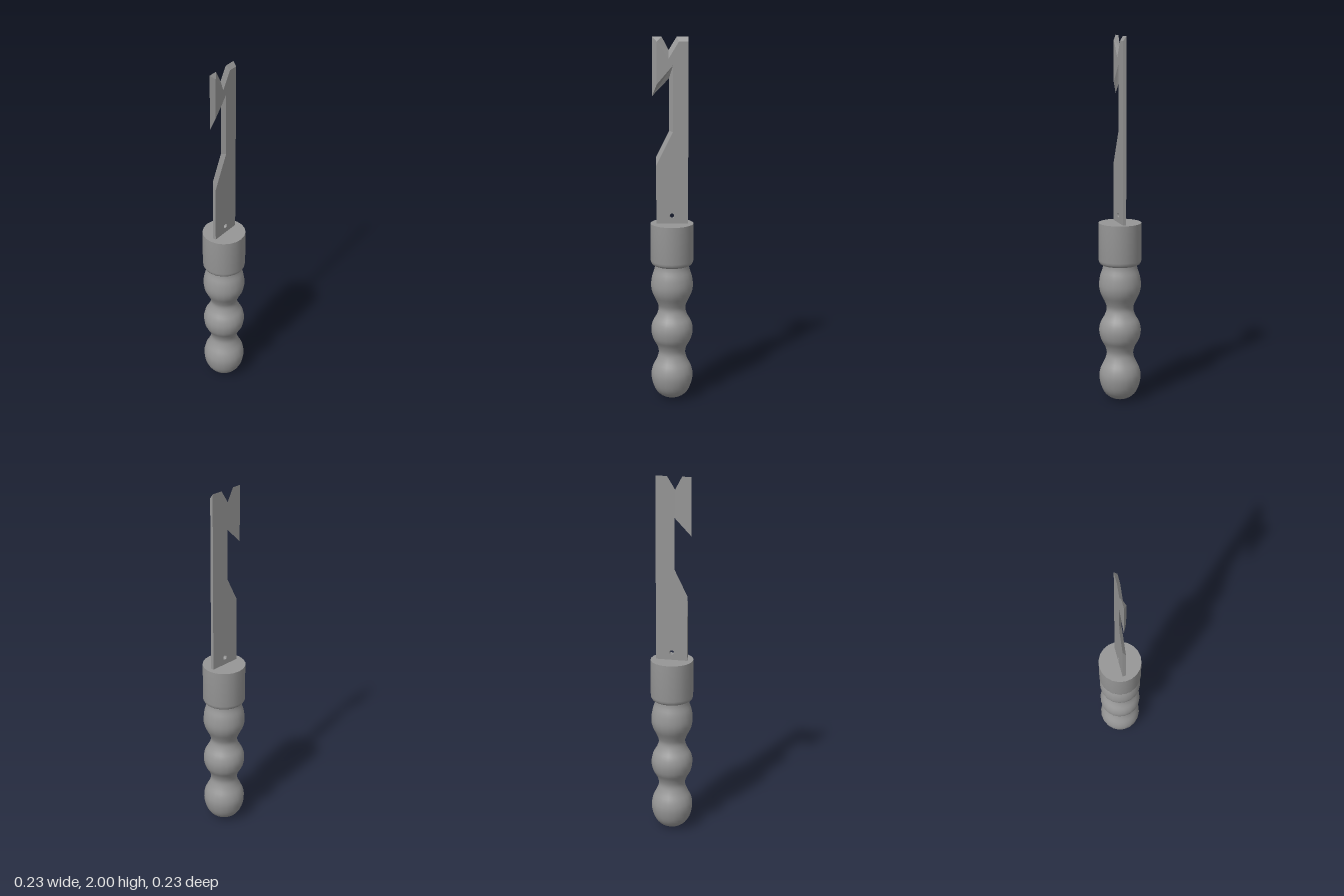
import * as THREE from 'three';
import { mergeGeometries, toCreasedNormals } from 'three/addons/utils/BufferGeometryUtils.js';

const SIDES = 20;
const REAR = -0.008; // depth of the blade's two faces
const FRONT = 0.01;

const vec = (pts) => pts.map(([x, y]) => new THREE.Vector2(x, y));

// Strip of quads joining two matching outlines, one on each face of the blade
function wall(back, front) {
  const pos = [];
  back.forEach((b, i) => {
    const j = (i + 1) % back.length;
    const p = [[b, REAR], [back[j], REAR], [front[j], FRONT], [front[i], FRONT]];
    for (const k of [0, 1, 2, 0, 2, 3]) pos.push(p[k][0].x, p[k][0].y, p[k][1]);
  });
  const g = new THREE.BufferGeometry();
  g.setAttribute('position', new THREE.Float32BufferAttribute(pos, 3));
  return g;
}

// Flat face of the blade at depth z, with the pin hole
function cap(outline, hole, z) {
  const shape = new THREE.Shape(outline);
  shape.holes.push(new THREE.Path(hole));
  const g = new THREE.ShapeGeometry(shape).toNonIndexed();
  g.deleteAttribute('uv');
  g.deleteAttribute('normal');
  if (z < 0) {
    // reverse the winding so the rear face looks backwards
    const a = g.attributes.position.array;
    for (let i = 0; i < a.length; i += 9) {
      for (let k = 0; k < 3; k++) [a[i + 3 + k], a[i + 6 + k]] = [a[i + 6 + k], a[i + 3 + k]];
    }
  }
  return g.translate(0, 0, z);
}

function bladeGeometry() {
  // Counter-clockwise outlines; the front one is bevelled along the shoulder, shank, hook and tip
  const back = vec([[-0.016, 1.5], [-0.085, 1.36], [-0.085, 0.98], [0.087, 0.98], [0.087, 2],
    [0.025, 2], [-0.018, 1.93], [-0.055, 2], [-0.105, 2], [-0.105, 1.687], [-0.016, 1.78]]);
  const front = vec([[0.005, 1.495], [-0.085, 1.313], [-0.085, 0.98], [0.087, 0.98], [0.087, 1.975],
    [0.036, 1.975], [-0.018, 1.885], [-0.079, 1.975], [-0.081, 1.975], [-0.081, 1.75], [0.005, 1.85]]);
  const hole = [];
  for (let i = 0; i < 10; i++) {
    const a = -i / 10 * Math.PI * 2;
    hole.push(new THREE.Vector2(0.013 * Math.cos(a), 1.037 + 0.013 * Math.sin(a)));
  }
  const g = mergeGeometries([cap(front, hole, FRONT), cap(back, hole, REAR), wall(back, front), wall(hole, hole)]);
  g.computeVertexNormals();
  return g;
}

export function createModel() {
  const group = new THREE.Group();
  const material = new THREE.MeshStandardMaterial({ color: 0x969696 });
  const add = (name, geometry) => {
    const mesh = new THREE.Mesh(geometry, material);
    mesh.name = name;
    group.add(mesh);
  };

  // Grip: three rounded bulges with waists between them
  const grip = new THREE.SplineCurve(vec([
    [0, 0], [0.04, 0.005], [0.077, 0.028], [0.103, 0.07], [0.115, 0.13], [0.106, 0.18], [0.084, 0.225],
    [0.073, 0.265], [0.084, 0.305], [0.106, 0.345], [0.115, 0.395], [0.106, 0.44], [0.084, 0.48],
    [0.073, 0.518], [0.084, 0.555], [0.106, 0.6], [0.115, 0.645], [0.109, 0.7], [0.094, 0.748], [0.092, 0.79],
  ]));
  const profile = grip.getPoints(60);
  profile[0].x = 0;
  add('grip', new THREE.LatheGeometry(profile, SIDES));

  // Collar: straight ferrule with a rounded lower rim and a sharp upper one
  const collar = new THREE.LatheGeometry(vec([
    [0.088, 0.762], [0.1, 0.764], [0.11, 0.77], [0.115, 0.778], [0.117, 0.79], [0.117, 0.995], [0, 0.995],
  ]), SIDES);
  add('collar', toCreasedNormals(collar, 1.2));

  // Blade with shoulder, hook and notched tip
  add('blade', bladeGeometry());
  return group;
}
